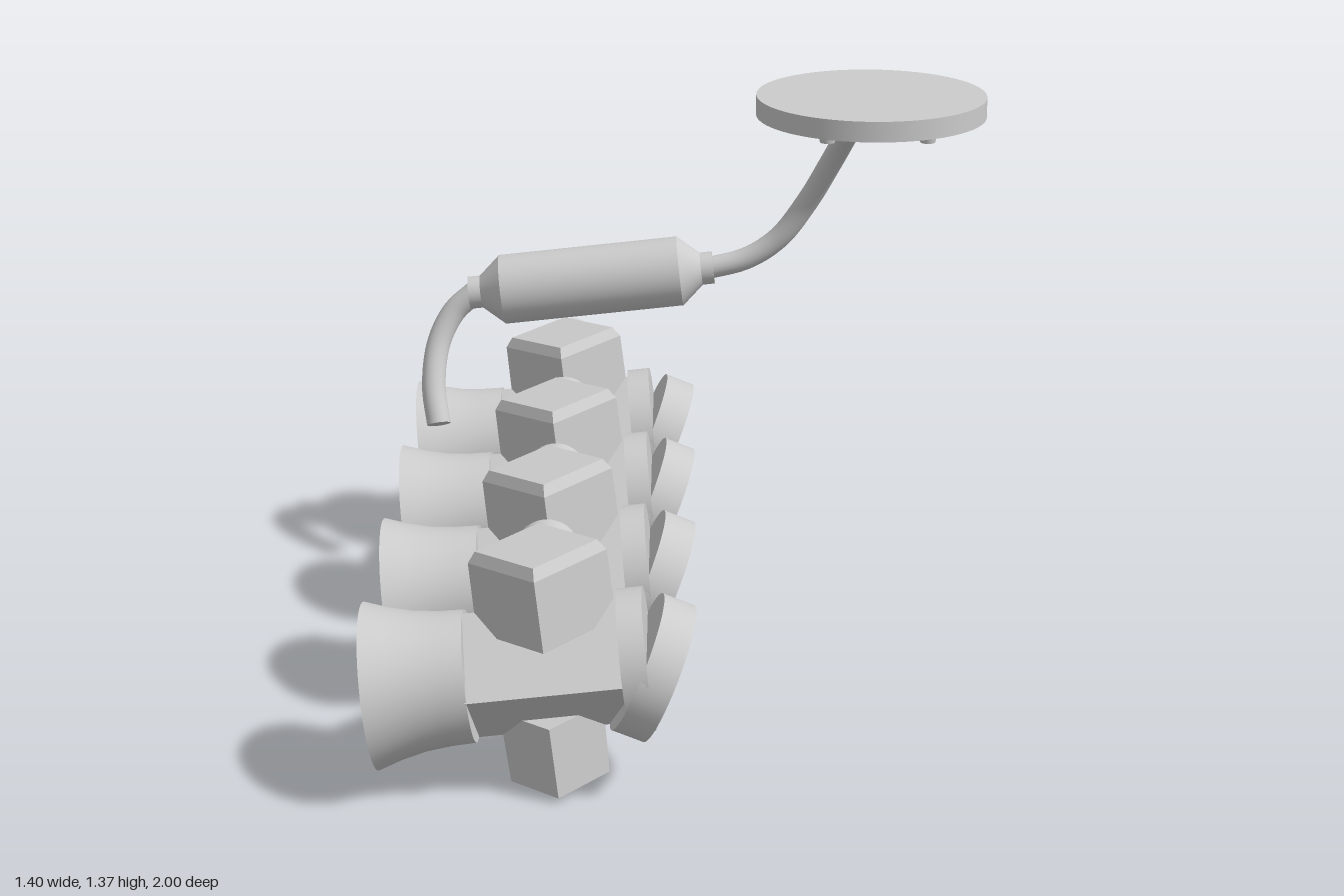
import * as THREE from 'three';

const TILT = 0.108;      // lean of the lamp heads and the arm housing, in radians
const HEAD_COUNT = 4;
const HEAD_STEP = 0.502;

export function createModel() {
  const grey = new THREE.MeshStandardMaterial({ color: 0xcccccc });
  grey.name = 'light grey';
  const model = new THREE.Group();
  model.name = 'lampAssembly';

  const add = (parent, name, geometry, x = 0, y = 0, z = 0) => {
    const mesh = new THREE.Mesh(geometry, grey);
    mesh.name = name;
    mesh.position.set(x, y, z);
    parent.add(mesh);
    return mesh;
  };

  // Round part along x, from x0 (radius r0) to x1 (radius r1)
  const barrel = (parent, name, x0, x1, r0, r1) => {
    const g = new THREE.CylinderGeometry(r1, r0, x1 - x0, 48).rotateZ(-Math.PI / 2);
    return add(parent, name, g, (x0 + x1) / 2);
  };

  // Upright four-sided prism with its corners on the x and z axes
  const diamond = (top, bottom, y0, y1) => {
    const g = new THREE.CylinderGeometry(top, bottom, y1 - y0, 4)
      .translate(0, (y0 + y1) / 2, 0).toNonIndexed();
    g.computeVertexNormals();
    return g;
  };

  // Curved pipe with closed ends
  const pipe = (name, points, radius) => {
    const curve = new THREE.CatmullRomCurve3(points.map((p) => new THREE.Vector3(...p)));
    add(model, name, new THREE.TubeGeometry(curve, 48, radius, 24));
    [0, 1].forEach((t) => {
      const end = curve.getPoint(t);
      const out = curve.getTangent(t).multiplyScalar(t ? 1 : -1);
      const cap = add(model, name + 'End', new THREE.CircleGeometry(radius, 24), end.x, end.y, end.z);
      cap.quaternion.setFromUnitVectors(new THREE.Vector3(0, 0, 1), out);
    });
  };

  // Row of lamp heads
  for (let i = 0; i < HEAD_COUNT; i++) {
    const head = new THREE.Group();
    head.name = 'lampHead' + (i + 1);
    head.position.set(-0.3, 0.274, -0.695 + i * HEAD_STEP);
    head.rotation.z = TILT;
    model.add(head);

    // Flared bell, closed at both ends
    const bell = [[0, -0.383], [0.184, -0.383], [0.184, -0.383], [0.166, -0.33],
      [0.153, -0.275], [0.147, -0.22], [0.145, -0.165], [0.145, -0.165], [0, -0.165]]
      .map(([r, y]) => new THREE.Vector2(r, y));
    const side = new THREE.LatheGeometry(bell.slice(2, 7), 48).rotateZ(-Math.PI / 2);
    add(head, 'bell', side);
    add(head, 'bellFace', new THREE.CircleGeometry(0.184, 48).rotateY(-Math.PI / 2), -0.383);
    add(head, 'bellBack', new THREE.CircleGeometry(0.145, 48).rotateY(Math.PI / 2), -0.165);

    // Square body set on edge
    add(head, 'body', diamond(0.147, 0.147, -0.17, 0.17).rotateZ(-Math.PI / 2));

    // Round collar and angled end disc
    barrel(head, 'collar', 0.17, 0.226, 0.157, 0.157);
    const disc = add(head, 'endDisc',
      new THREE.CylinderGeometry(0.158, 0.158, 0.075, 48).rotateZ(-Math.PI / 2), 0.231, -0.023);
    disc.rotation.z = -0.39 - TILT;

    // Upper block with bevelled top, and lower block
    add(head, 'upperBlock', diamond(0.15, 0.152, 0.1, 0.262), 0.013);
    add(head, 'upperBlockBevel', diamond(0.132, 0.15, 0.262, 0.287), 0.013);
    add(head, 'lowerBlock', diamond(0.114, 0.109, -0.26, -0.094));

    // Connector on the rear side
    const along = (r, z0, z1) => new THREE.CylinderGeometry(r, r, z0 - z1, 32)
      .rotateX(-Math.PI / 2).translate(0, 0, (z0 + z1) / 2);
    add(head, 'connector', along(0.071, -0.08, -0.266), 0.013, 0.172);
    add(head, 'connectorPin', along(0.028, -0.26, -0.305), 0.013, 0.172);
  }

  // Arm housing with tapered ends
  const housing = new THREE.Group();
  housing.name = 'armHousing';
  housing.position.set(-0.235, 0.756, -0.52);
  housing.rotation.z = TILT;
  model.add(housing);
  barrel(housing, 'housingBarrel', -0.227, 0.227, 0.088, 0.088);
  barrel(housing, 'housingTaperRight', -0.287, -0.227, 0.036, 0.088);
  barrel(housing, 'housingTaperLeft', 0.227, 0.287, 0.088, 0.036);
  barrel(housing, 'housingCollarRight', -0.312, -0.28, 0.041, 0.041);
  barrel(housing, 'housingCollarLeft', 0.28, 0.312, 0.041, 0.041);

  // Pipes leaving the housing
  pipe('upperPipe', [[0.435, 1.31, -0.13], [0.405, 1.21, -0.29], [0.365, 1.09, -0.42],
    [0.31, 0.97, -0.49], [0.24, 0.87, -0.512], [0.16, 0.815, -0.518], [0.05, 0.785, -0.52]], 0.028);
  pipe('lowerPipe', [[-0.53, 0.725, -0.52], [-0.585, 0.675, -0.515], [-0.624, 0.6, -0.49],
    [-0.636, 0.5, -0.44], [-0.622, 0.412, -0.395]], 0.03);

  // Mounting plate with a ring of bolts
  add(model, 'mountingPlate', new THREE.CylinderGeometry(0.265, 0.265, 0.047, 64), 0.431, 1.348, 0.055);
  for (let i = 0; i < 6; i++) {
    const a = (i * Math.PI) / 3;
    add(model, 'plateBolt', new THREE.CylinderGeometry(0.02, 0.017, 0.02, 16),
      0.434 + 0.225 * Math.cos(a), 1.318, 0.055 + 0.225 * Math.sin(a));
  }
  return model;
}
